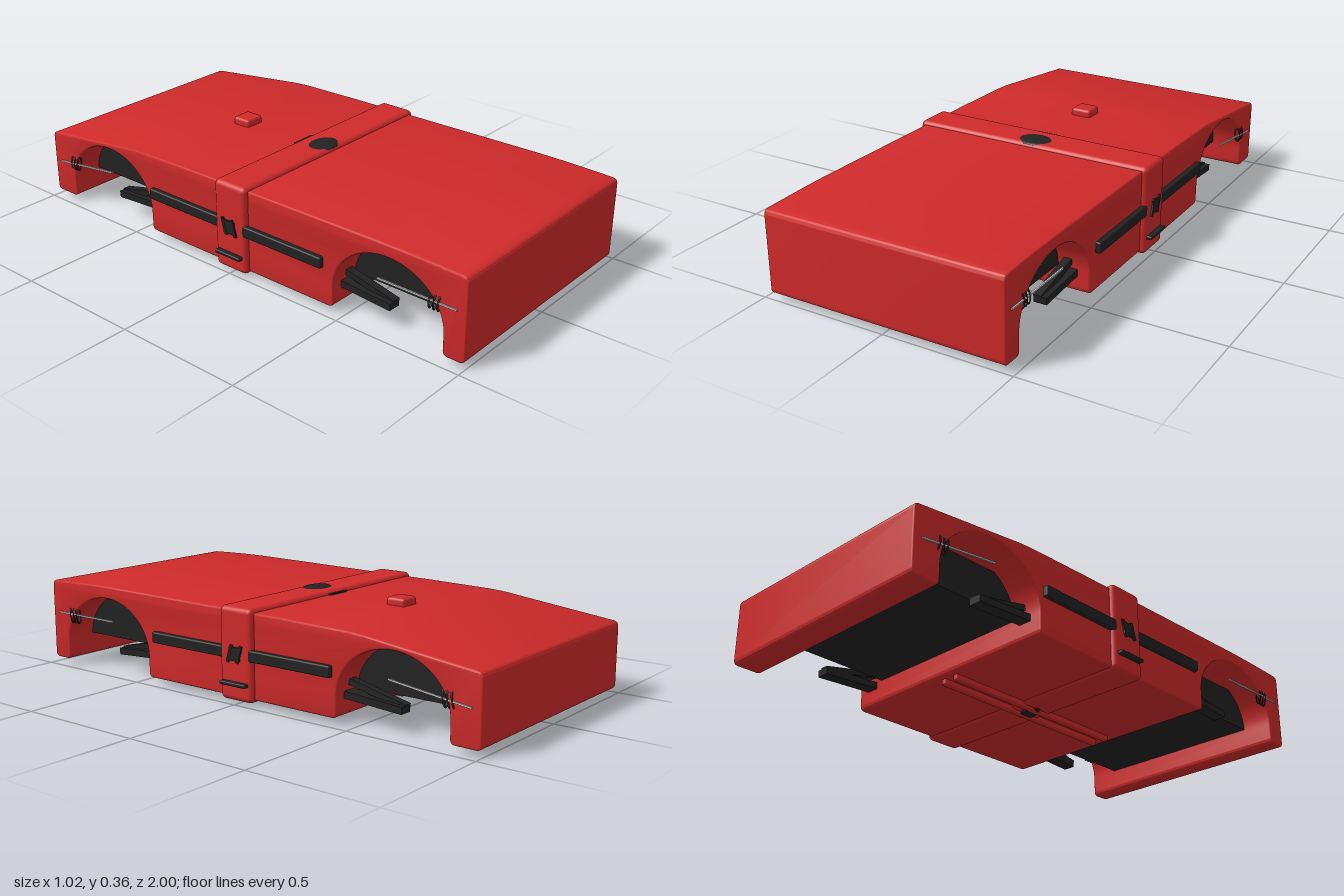
import * as THREE from 'three';
import { toCreasedNormals } from 'three/addons/utils/BufferGeometryUtils.js';
import { RoundedBoxGeometry } from 'three/addons/geometries/RoundedBoxGeometry.js';

const red = new THREE.MeshStandardMaterial({ name: 'red paint', color: 0xcf2a2a });
const black = new THREE.MeshStandardMaterial({ name: 'black plastic', color: 0x222222 });
const silver = new THREE.MeshStandardMaterial({ name: 'silver metal', color: 0xcccccc });

export function createModel() {
  const model = new THREE.Group();
  model.name = 'vehicleShell';

  const add = (name, geometry, material, x = 0, y = 0, z = 0) => {
    const mesh = new THREE.Mesh(geometry, material);
    mesh.name = name;
    mesh.position.set(x, y, z);
    model.add(mesh);
    return mesh;
  };
  const box = (name, material, size, pos) =>
    add(name, new THREE.BoxGeometry(...size), material, ...pos);
  const rounded = (name, material, size, pos, r) =>
    add(name, new RoundedBoxGeometry(...size, 3, r), material, ...pos);

  // Bar running between two points, given as [x, y, z]
  const strut = (name, material, a, b, w, h) => {
    const p = new THREE.Vector3(...a), q = new THREE.Vector3(...b);
    const mesh = box(name, material, [w, h, p.distanceTo(q)], p.clone().add(q).multiplyScalar(0.5).toArray());
    mesh.lookAt(q);
    return mesh;
  };

  // Body: side profile with two wheel arches, extruded across the width
  const r = 0.02, low = 0.022;
  const s = new THREE.Shape();
  s.moveTo(1 - r, low);
  s.quadraticCurveTo(1, low, 1, low + r);
  s.lineTo(1, 0.315);
  s.quadraticCurveTo(1, 0.335, 0.98, 0.337);
  s.quadraticCurveTo(0.8, 0.345, 0.65, 0.344);
  s.lineTo(-0.2, 0.337);
  s.lineTo(-0.45, 0.333);
  s.quadraticCurveTo(-0.52, 0.331, -0.57, 0.324);
  s.lineTo(-0.98, 0.277);
  s.quadraticCurveTo(-1, 0.274, -1, 0.255);
  s.lineTo(-1, low + r);
  s.quadraticCurveTo(-1, low, -1 + r, low);
  const arch = (rear, front, top) => {
    s.lineTo(rear - r, low);
    s.quadraticCurveTo(rear, low, rear, low + r);
    s.lineTo(rear, 0.1);
    s.absellipse((rear + front) / 2, 0.1, (front - rear) / 2, top - 0.1, Math.PI, 0, true);
    s.lineTo(front, low + r);
    s.quadraticCurveTo(front, low, front + r, low);
  };
  arch(-0.885, -0.435, 0.293);
  arch(0.46, 0.915, 0.296);
  s.closePath();
  const bevel = 0.007, halfWidth = 0.472;
  const depth = 2 * (halfWidth - bevel);
  const body = new THREE.ExtrudeGeometry(s, {
    depth, curveSegments: 20, bevelEnabled: true,
    bevelSize: bevel, bevelOffset: -bevel, bevelThickness: bevel, bevelSegments: 3
  });
  body.translate(0, 0, -depth / 2).rotateY(-Math.PI / 2);
  add('body', toCreasedNormals(body, 0.6), red);

  // Raised band around the middle
  rounded('middleBand', red, [0.984, 0.342, 0.15], [0, 0.182, 0], 0.02);

  // Roof button, dome and thin strip
  rounded('roofButton', red, [0.084, 0.045, 0.08], [0, 0.34, -0.37], 0.012);
  const dome = add('roofDome', new THREE.SphereGeometry(0.07, 24, 10, 0, Math.PI * 2, 0, Math.PI / 2), black, 0, 0.348, 0.02);
  dome.scale.set(1, 0.17, 0.75);
  box('roofStrip', black, [0.1, 0.012, 0.01], [0, 0.337, -0.079]);

  // Underside rails and centre fitting
  for (const x of [-0.03, 0.03])
    rounded('undersideRail', red, [0.024, 0.024, 0.82], [x, 0.012, 0], 0.006);
  const puck = add('undersideFitting', new THREE.CylinderGeometry(0.055, 0.045, 0.016, 20), black, 0, 0.01, 0);
  puck.scale.z = 0.6;

  // Chassis blocks seen through the arches
  box('frontChassis', black, [0.7, 0.15, 0.46], [0, 0.185, 0.69]);
  box('rearChassis', black, [0.7, 0.15, 0.46], [0, 0.185, -0.655]);

  for (const side of [-1, 1]) {
    // Side bar with its clasp
    rounded('sideBar', black, [0.03, 0.042, 0.84], [side * 0.476, 0.185, 0], 0.006);
    box('clasp', black, [0.016, 0.05, 0.05], [side * 0.49, 0.185, 0]);
    for (const z of [-0.022, 0.022]) {
      const tooth = box('claspTooth', black, [0.018, 0.066, 0.012], [side * 0.49, 0.185, z]);
      tooth.rotation.x = -0.3;
    }
    rounded('lowerTab', black, [0.03, 0.014, 0.12], [side * 0.497, 0.077, 0], 0.005);

    // Suspension at each wheel arch
    for (const end of [1, -1]) {
      const inner = 0.42 * end, outer = 0.67 * end;
      strut('lowerArm', black, [side * 0.4, 0.098, inner], [side * 0.4, 0.082, outer], 0.05, 0.026);
      strut('diagonalArm', black, [side * 0.39, 0.145, inner], [side * 0.39, 0.088, outer], 0.03, 0.022);

      const rodEnd = end > 0 ? 0.21 : 0.157;
      const rodStart = end > 0 ? 0.21 : 0.197;
      strut('rod', silver, [side * 0.474, rodStart, 0.65 * end], [side * 0.474, rodEnd, 0.965 * end], 0.006, 0.006);

      // Short coil around the rod
      const y = end > 0 ? 0.205 : 0.17;
      for (const z of [0.86, 0.877, 0.894]) {
        const coil = add('springCoil', new THREE.TorusGeometry(0.03, 0.004, 6, 18), black, side * 0.466, y, z * end);
        coil.scale.x = 0.35;
        coil.rotation.x = 0.15;
      }
    }
  }
  return model;
}
